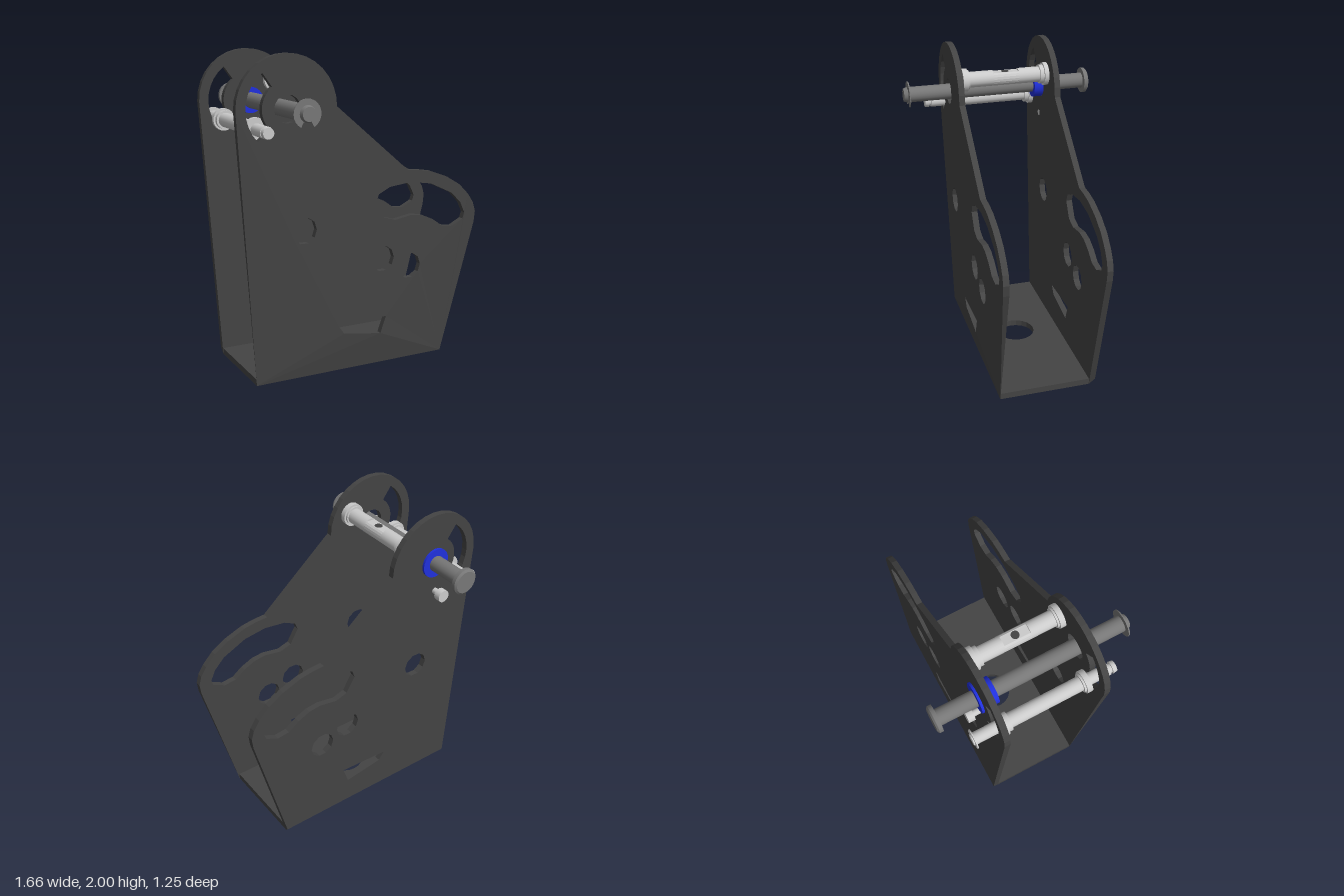
import * as THREE from 'three';

const mat = (color, extra = {}) => new THREE.MeshStandardMaterial({ color, ...extra });
const grey = mat(0xcccccc);
const dark = mat(0x444444, { flatShading: true });
const steel = mat(0x777777);
const blue = mat(0x2030dd);

const PIVOT = [-0.51, 1.68];
const CLAMP = [-0.685, 1.565];

// points along a circular arc, angles in degrees
function arc([cx, cy], r, a0, a1, n) {
  const pts = [];
  for (let i = 0; i <= n; i++) {
    const a = THREE.MathUtils.degToRad(a0 + (a1 - a0) * i / n);
    pts.push([cx + r * Math.cos(a), cy + r * Math.sin(a)]);
  }
  return pts;
}
const vecs = pts => pts.map(p => new THREE.Vector2(p[0], p[1]));
const hole = (c, r, n) => arc(c, r, 0, 360 * (n - 1) / n, n - 1);

function panel(outline, holes, depth) {
  const shape = new THREE.Shape(vecs(outline));
  holes.forEach(h => shape.holes.push(new THREE.Path(vecs(h))));
  return new THREE.ExtrudeGeometry(shape, { depth, bevelEnabled: false });
}

function add(parent, name, geo, material) {
  const mesh = new THREE.Mesh(geo, material);
  mesh.name = name;
  parent.add(mesh);
  return mesh;
}

// round part lying along z, from z0 to z1
function rod(parent, name, r, z0, z1, material, sides = 20, r1 = r) {
  const g = new THREE.CylinderGeometry(r1, r, z1 - z0, sides);
  g.rotateX(Math.PI / 2).translate(0, 0, (z0 + z1) / 2);
  return add(parent, name, g, material);
}

// thin retaining clip with a gap, facing along z
function clip(parent, name, r, inner, z, gapAngle, material) {
  const a = gapAngle + 28, b = gapAngle + 332;
  const outline = [...arc([0, 0], r, a, b, 20), ...arc([0, 0], inner, b, a, 20)];
  return add(parent, name, panel(outline, [], 0.008).translate(0, 0, z), material);
}

function group(parent, name, x, y) {
  const g = new THREE.Group();
  g.name = name;
  g.position.set(x, y, 0);
  parent.add(g);
  return g;
}

// side plate; the outer face tapers in to the base at the bottom edge
function sidePlate(parent, name, inner, side) {
  const thick = 0.038;
  const crest = [[0.82, 0.87], [0.828, 0.94], [0.81, 1.0], [0.77, 1.06], [0.7, 1.13],
    [0.6, 1.19], [0.48, 1.235], [0.39, 1.25], [0.31, 1.255]];
  const foot = side < 0 ? [[0.61, 0.04]] : [];
  const heel = side < 0 ? [[-0.7226, 0.04]] : [];
  const outline = [[-0.72, 0], [0.6, 0], ...foot, ...crest,
    ...arc(PIVOT, 0.32, 0, 180, 16), ...heel];
  const crescent = [[0.08, 1.07], [0.1, 1.12], [0.18, 1.16], [0.33, 1.178], [0.48, 1.155],
    [0.64, 1.08], [0.71, 1.01], [0.743, 0.94], [0.73, 0.9], [0.65, 0.86], [0.57, 0.87],
    [0.5, 0.92], [0.42, 0.955], [0.34, 0.965], [0.22, 0.945], [0.14, 0.97]];
  const arcSlot = [...arc(PIVOT, 0.26, 126, 224, 9), ...arc(PIVOT, 0.16, 224, 126, 9)];
  const notch = [[-0.18, 0.305], [0.16, 0.32], [0.12, 0.21], [-0.14, 0.25]];
  const holes = [crescent, arcSlot, notch, hole(PIVOT, 0.084, 16),
    hole([-0.41, 0.945], 0.083, 10), hole([0.13, 0.705], 0.083, 10), hole([0.325, 0.635], 0.083, 10)];
  const g = panel(outline, holes, thick);
  g.translate(0, 0, side > 0 ? inner : inner - thick);
  const p = g.attributes.position;
  for (let i = 0; i < p.count; i++) if (p.getY(i) < 0.001) p.setZ(i, inner + side * 0.001);
  g.computeVertexNormals();
  add(parent, name, g, dark);
}

export function createModel() {
  const model = new THREE.Group();
  model.name = 'bracket';

  // folded sheet bracket
  sidePlate(model, 'frontPlate', 0.285, 1);
  sidePlate(model, 'backPlate', -0.304, -1);
  const base = panel([[-0.72, -0.285], [0.6, -0.285], [0.6, 0.304], [-0.72, 0.304]],
    [hole([-0.09, 0.012], 0.125, 20)], 0.04);
  add(model, 'basePlate', base.rotateX(-Math.PI / 2), dark);

  // long pivot pin with head, clip and split tip
  const pivot = group(model, 'pivotPin', ...PIVOT);
  rod(pivot, 'pivotShaft', 0.05, -0.6, 0.585, steel);
  rod(pivot, 'pivotHead', 0.083, -0.615, -0.592, steel, 24);
  rod(pivot, 'pivotHeadRim', 0.07, -0.625, -0.615, steel, 24, 0.083);
  rod(pivot, 'pivotNeck', 0.038, 0.585, 0.598, steel);
  rod(pivot, 'pivotTip', 0.05, 0.598, 0.622, steel, 20, 0.042);
  clip(pivot, 'pivotClip', 0.085, 0.036, 0.586, 270, steel);

  // blue bushing seated in the back plate
  const bushing = group(model, 'bushing', ...PIVOT);
  rod(bushing, 'bushingSleeve', 0.083, -0.345, -0.243, blue, 24);
  rod(bushing, 'bushingFlange', 0.095, -0.358, -0.343, blue, 24);

  // clamp pin through the curved slots
  const clamp = group(model, 'clampPin', ...CLAMP);
  rod(clamp, 'clampShaft', 0.037, -0.455, 0.415, grey);
  rod(clamp, 'clampSleeve', 0.045, -0.27, 0.25, grey);
  rod(clamp, 'clampNeck', 0.028, 0.41, 0.43, grey);
  rod(clamp, 'clampTip', 0.038, 0.428, 0.455, grey, 20, 0.034);
  rod(clamp, 'clampBackTip', 0.034, -0.472, -0.455, grey);
  clip(clamp, 'clampClip', 0.06, 0.03, -0.464, 270, grey);

  // upper spacer with a drilled flat on top
  const spacer = group(model, 'spacer', -0.335, 1.8);
  rod(spacer, 'spacerBack', 0.05, -0.27, -0.095, grey);
  rod(spacer, 'spacerFront', 0.05, 0.07, 0.25, grey);
  const flat = rod(spacer, 'spacerFlat', 0.05, -0.095, 0.07, mat(0xcccccc, { flatShading: true }));
  const p = flat.geometry.attributes.position;
  for (let i = 0; i < p.count; i++) p.setY(i, Math.min(p.getY(i), 0.038));
  const bore = new THREE.CylinderGeometry(0.025, 0.025, 0.004, 16);
  add(spacer, 'spacerHole', bore, dark).position.set(0, 0.037, -0.012);

  // stepped collars at both ends of the two cross tubes
  [clamp, spacer].forEach(g => {
    const r = g === clamp ? 0.07 : 0.073;
    rod(g, 'backCollar', r, -0.29, -0.262, grey, 24);
    rod(g, 'backCollarStep', r - 0.012, -0.262, -0.236, grey, 24);
    rod(g, 'frontCollarStep', r - 0.012, 0.228, 0.24, grey, 24);
    rod(g, 'frontCollar', r, 0.24, 0.274, grey, 24);
  });

  // small stop pin on the back plate
  const stop = group(model, 'stopPin', -0.53, 1.47);
  rod(stop, 'stopShaft', 0.02, -0.39, -0.303, grey, 14);
  rod(stop, 'stopHead', 0.04, -0.428, -0.385, grey, 16);

  return model;
}
